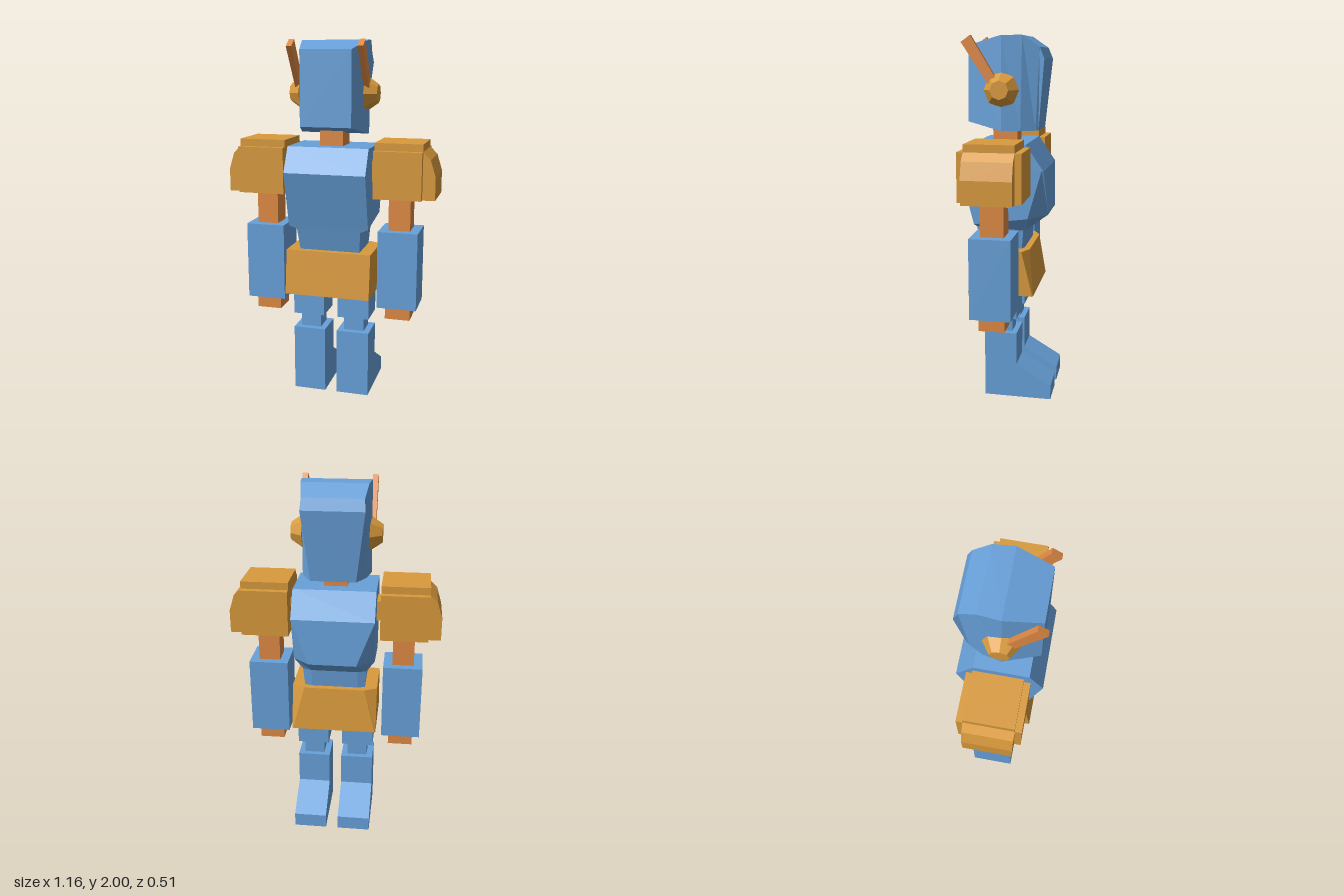
import * as THREE from 'three';

const material = (color) => new THREE.MeshStandardMaterial({ color, flatShading: true });

export function createModel() {
  const model = new THREE.Group();
  const blue = material(0x68a1da), gold = material(0xd99a3c), orange = material(0xe08a44);

  function add(name, geometry, mat) {
    const mesh = new THREE.Mesh(geometry, mat);
    mesh.name = name;
    model.add(mesh);
    return mesh;
  }

  // Box given by its extents on each axis
  function box(name, mat, [x0, x1], [y0, y1], [z0, z1]) {
    const g = new THREE.BoxGeometry(x1 - x0, y1 - y0, z1 - z0);
    g.translate((x0 + x1) / 2, (y0 + y1) / 2, (z0 + z1) / 2);
    return add(name, g, mat);
  }

  // Extruded outline of [u, v] points
  function extrude(points, depth) {
    const shape = new THREE.Shape(points.map(([u, v]) => new THREE.Vector2(u, v)));
    return new THREE.ExtrudeGeometry(shape, { depth, bevelEnabled: false });
  }

  // Side outline of [z, y] points, extruded from x0 to x1
  function sideExtrude(points, x0, x1) {
    return extrude(points.map(([z, y]) => [-z, y]), x1 - x0).rotateY(Math.PI / 2).translate(x0, 0, 0);
  }

  // Solid through half sections of [x, y, z] points, each mirrored across x = 0
  function loft(sections) {
    const rings = sections.map((half) => [
      ...half, ...half.slice().reverse().map(([x, y, z]) => [-x, y, z]),
    ].map((p) => new THREE.Vector3(...p)));
    const n = rings[0].length, last = rings[rings.length - 1], tris = [];
    for (let r = 0; r + 1 < rings.length; r++) {
      for (let i = 0; i < n; i++) {
        const j = (i + 1) % n, [a, b] = [rings[r], rings[r + 1]];
        tris.push([a[i], a[j], b[j]], [a[i], b[j], b[i]]);
      }
    }
    for (let i = 1; i + 1 < n; i++) {
      tris.push([rings[0][0], rings[0][i + 1], rings[0][i]], [last[0], last[i], last[i + 1]]);
    }
    // Turn every face outward if the solid came out inside out
    const c = rings[0][0];
    const volume = tris.reduce((sum, t) => {
      const [p, q, s] = t.map((v) => v.clone().sub(c));
      return sum + p.dot(q.cross(s));
    }, 0);
    if (volume < 0) tris.forEach((t) => t.reverse());
    const g = new THREE.BufferGeometry().setFromPoints(tris.flat());
    g.computeVertexNormals();
    return g;
  }

  // Head: top and bottom corner of each slice, from front to back
  add('head', loft([
    [[0.14, 1.95, 0.215], [0.14, 1.55, 0.22]],
    [[0.185, 2.0, 0.03], [0.19, 1.505, 0.03]],
    [[0.175, 2.0, -0.08], [0.17, 1.505, -0.07]],
    [[0.16, 1.94, -0.17], [0.13, 1.505, -0.145]],
    [[0.165, 1.88, -0.195], [0.12, 1.505, -0.16]],
  ]), blue);
  box('neck', orange, [-0.065, 0.065], [1.42, 1.54], [-0.035, 0.1]);

  // Torso: front, side and back corner of each ring, from top to waist
  add('torso', loft([
    [[0.225, 1.44, 0.18], [0.225, 1.44, -0.1], [0.225, 1.44, -0.11]],
    [[0.225, 1.305, 0.255], [0.225, 1.305, -0.195], [0.225, 1.3, -0.205]],
    [[0.225, 1.0, 0.175], [0.225, 1.04, -0.12], [0.13, 1.05, -0.22]],
    [[0.18, 0.98, 0.17], [0.18, 0.965, -0.09], [0.13, 0.96, -0.1]],
    [[0.17, 0.85, 0.14], [0.17, 0.85, -0.08], [0.13, 0.85, -0.09]],
  ]), blue);

  // Hips, with the rear upper corners cut away
  add('hips', loft([
    [[0.24, 0.86, 0.18], [0.24, 0.86, -0.09], [0.17, 0.86, -0.125]],
    [[0.24, 0.61, 0.21], [0.24, 0.61, -0.15], [0.235, 0.61, -0.155]],
  ]), gold);

  const mirror = (s, [a, b]) => (s > 0 ? [a, b] : [-b, -a]);
  for (const s of [1, -1]) {
    const side = s > 0 ? 'left' : 'right';
    const pair = (part, mat, x, y, z) => box(side + part, mat, mirror(s, x), y, z);

    // Ear disc and antenna
    const ear = new THREE.CylinderGeometry(0.05, 0.095, 0.065, 8);
    ear.rotateZ(-s * Math.PI / 2).translate(s * 0.2115, 1.72, 0.03);
    add(side + 'Ear', ear, gold);
    add(side + 'Antenna', sideExtrude(
      [[0.095, 1.75], [0.24, 1.965], [0.19, 2.0], [0.055, 1.78]], ...mirror(s, [0.175, 0.205])), orange);

    // Shoulder: block with a rounded plate running through it
    pair('ShoulderJoint', gold, [0.2, 0.26], [1.25, 1.36], [-0.035, 0.09]);
    pair('Shoulder', gold, [0.25, 0.51], [1.175, 1.43], [-0.14, 0.19]);
    const plate = [[0.25, 1.175], [0.578, 1.175], [0.578, 1.3], [0.55, 1.39],
      [0.51, 1.43], [0.51, 1.47], [0.25, 1.47]].map(([x, y]) => [s * x, y]);
    add(side + 'ShoulderPlate', extrude(plate, 0.26).translate(0, 0, -0.105), gold);

    // Arm
    pair('UpperArm', orange, [0.32, 0.44], [0.975, 1.185], [-0.035, 0.09]);
    pair('Forearm', blue, [0.27, 0.49], [0.55, 0.985], [-0.08, 0.14]);
    pair('Hand', orange, [0.31, 0.45], [0.475, 0.56], [-0.04, 0.1]);

    // Leg
    pair('Thigh', blue, [0.04, 0.22], [0.465, 0.62], [-0.06, 0.12]);
    pair('Knee', blue, [0.07, 0.185], [0.37, 0.475], [-0.03, 0.085]);
    add(side + 'LowerLeg', sideExtrude([[0.12, 0], [0.12, 0.38], [-0.06, 0.38],
      [-0.06, 0.195], [-0.255, 0.08], [-0.255, 0]], ...mirror(s, [0.035, 0.22])), blue);
  }
  return model;
}
